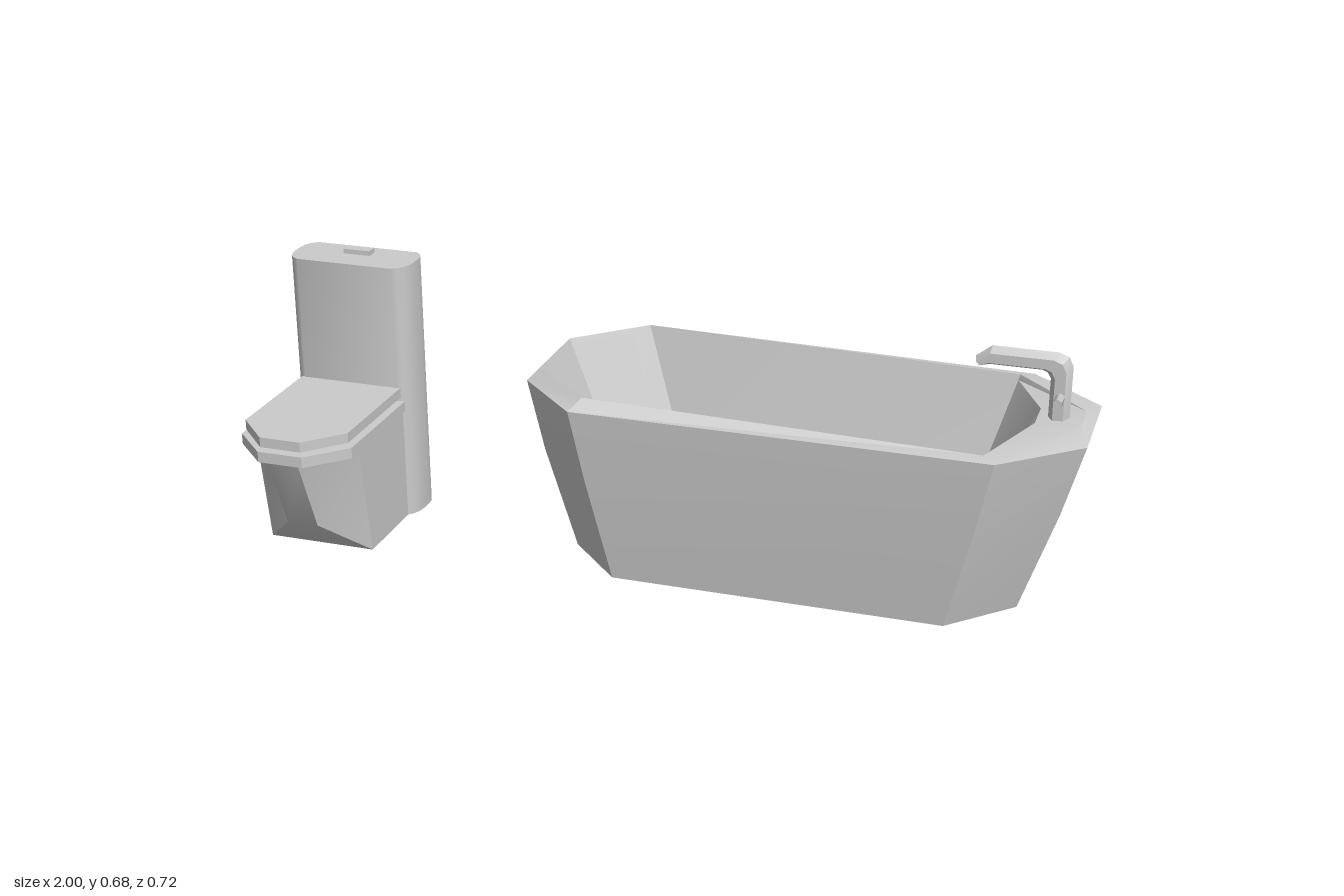
import * as THREE from 'three';
import { toCreasedNormals } from 'three/addons/utils/BufferGeometryUtils.js';

const material = new THREE.MeshStandardMaterial({ color: 0xcccccc });

// Skins a stack of rings (each symmetric: point i mirrors point n-1-i) and closes both ends.
function loft(rings) {
  const n = rings[0].length, last = (rings.length - 1) * n, index = [];
  const quad = (a, b, c, d) => index.push(a, b, c, a, c, d);
  for (let r = 0; r < rings.length - 1; r++)
    for (let i = 0; i < n; i++) {
      const j = (i + 1) % n;
      quad(r * n + i, r * n + j, (r + 1) * n + j, (r + 1) * n + i);
    }
  for (let i = 0; i < n / 2 - 1; i++) {
    quad(n - 1 - i, n - 2 - i, i + 1, i);
    quad(last + i, last + i + 1, last + n - 2 - i, last + n - 1 - i);
  }
  const g = new THREE.BufferGeometry();
  g.setAttribute('position', new THREE.Float32BufferAttribute(rings.flat(2), 3));
  g.setIndex(index);
  return toCreasedNormals(g, 0.5);
}

function add(parent, name, geometry, x = 0, y = 0, z = 0) {
  const mesh = new THREE.Mesh(geometry, material);
  mesh.name = name;
  mesh.position.set(x, y, z);
  parent.add(mesh);
  return mesh;
}

// Toilet ring: half outline of [x, y, z], back to front, mirrored in x.
const mirrorX = half => [
  ...half.map(([x, y, z]) => [-x, y, z]),
  ...half.slice().reverse(),
];
const prism = (half, y0, y1) =>
  loft([y0, y1].map(y => mirrorX(half.map(([x, z]) => [x, y, z]))));

// Bath ring: four stations along x, mirrored in z.
const bathRing = stations => [
  ...stations.map(([x, y, h]) => [x, y, h]),
  ...stations.slice().reverse().map(([x, y, h]) => [x, y, -h]),
];

function createToilet() {
  const toilet = new THREE.Group();
  toilet.name = 'toilet';
  toilet.position.x = -0.84;

  // Cistern with rounded front corners
  const tank = [[0.135, -0.17], [0.15, -0.157], [0.158, -0.14], [0.16, -0.12], [0.16, -0.09],
    [0.157, -0.07], [0.15, -0.053], [0.14, -0.04], [0.125, -0.032]];
  add(toilet, 'cistern', prism(tank, 0, 0.663));
  add(toilet, 'flushButton', new THREE.BoxGeometry(0.07, 0.014, 0.03), 0, 0.668, -0.122);

  // Faceted bowl, its front tucked under toward the floor
  add(toilet, 'bowl', loft([
    mirrorX([[0.137, 0, -0.06], [0.137, 0, 0.175], [0.04, 0.095, 0.27]]),
    mirrorX([[0.137, 0.29, -0.06], [0.137, 0.29, 0.22], [0.04, 0.29, 0.35]]),
  ]));

  // Seat and lid with a gap between, joined by a hinge at the back
  add(toilet, 'seat', prism([[0.145, -0.035], [0.145, 0.272], [0.057, 0.36]], 0.288, 0.315));
  add(toilet, 'lid', prism([[0.135, -0.035], [0.135, 0.267], [0.052, 0.354]], 0.325, 0.35));
  add(toilet, 'hinge', new THREE.BoxGeometry(0.2, 0.02, 0.03), 0, 0.32, -0.018);
  return toilet;
}

function createBath() {
  const bath = new THREE.Group();
  bath.name = 'bath';
  bath.position.z = -0.075;

  // Tub: outside wall up, over the rim, tap ledge, then down to the floor
  add(bath, 'tub', loft([
    [[-0.22, 0.015, 0.095], [-0.08, 0.015, 0.24], [0.72, 0.015, 0.24], [0.865, 0.015, 0.095]],
    [[-0.293, 0.27, 0.114], [-0.135, 0.27, 0.27], [0.782, 0.27, 0.27], [0.95, 0.27, 0.114]],
    [[-0.33, 0.45, 0.128], [-0.17, 0.45, 0.285], [0.82, 0.45, 0.285], [1, 0.45, 0.128]],
    [[-0.305, 0.477, 0.103], [-0.145, 0.477, 0.255], [0.79, 0.456, 0.255], [0.975, 0.466, 0.045]],
    [[-0.3, 0.464, 0.102], [-0.141, 0.464, 0.253], [0.786, 0.442, 0.252], [0.87, 0.46, 0.045]],
    [[-0.15, 0.08, 0.092], [-0.02, 0.08, 0.195], [0.68, 0.08, 0.17], [0.81, 0.08, 0.045]],
  ].map(bathRing)));

  const drain = add(bath, 'drain', new THREE.CylinderGeometry(0.034, 0.034, 0.008, 6), 0.56, 0.082, 0);
  drain.rotation.y = Math.PI / 6;

  // Tap: hexagonal pipe, each ring given by its outer and inner edge point
  const tap = new THREE.Group();
  tap.name = 'tap';
  bath.add(tap);
  const pipe = [
    [0.942, 0.45, 0.893, 0.45], [0.942, 0.588, 0.893, 0.555], [0.932, 0.61, 0.885, 0.568],
    [0.908, 0.619, 0.872, 0.573], [0.757, 0.619, 0.752, 0.573], [0.72, 0.59, 0.738, 0.572],
  ].map(([ox, oy, ix, iy]) => {
    const ring = [];
    for (let k = 0; k < 6; k++) {
      const t = (1 - Math.cos(k * Math.PI / 3)) / 2;
      ring.push([ox + (ix - ox) * t, oy + (iy - oy) * t, -0.029 * Math.sin(k * Math.PI / 3)]);
    }
    // start on a mirrored pair so the caps close cleanly
    return [...ring.slice(1), ring[0]];
  });
  add(tap, 'spout', loft(pipe));
  for (const side of [-1, 1]) {
    const handle = add(tap, side > 0 ? 'frontHandle' : 'backHandle',
      new THREE.CylinderGeometry(0.011, 0.011, 0.05, 6), 0.92, 0.52, side * 0.041);
    handle.rotation.x = Math.PI / 2;
  }
  return bath;
}

export function createModel() {
  const group = new THREE.Group();
  group.name = 'bathroomSet';
  group.add(createToilet(), createBath());
  return group;
}
